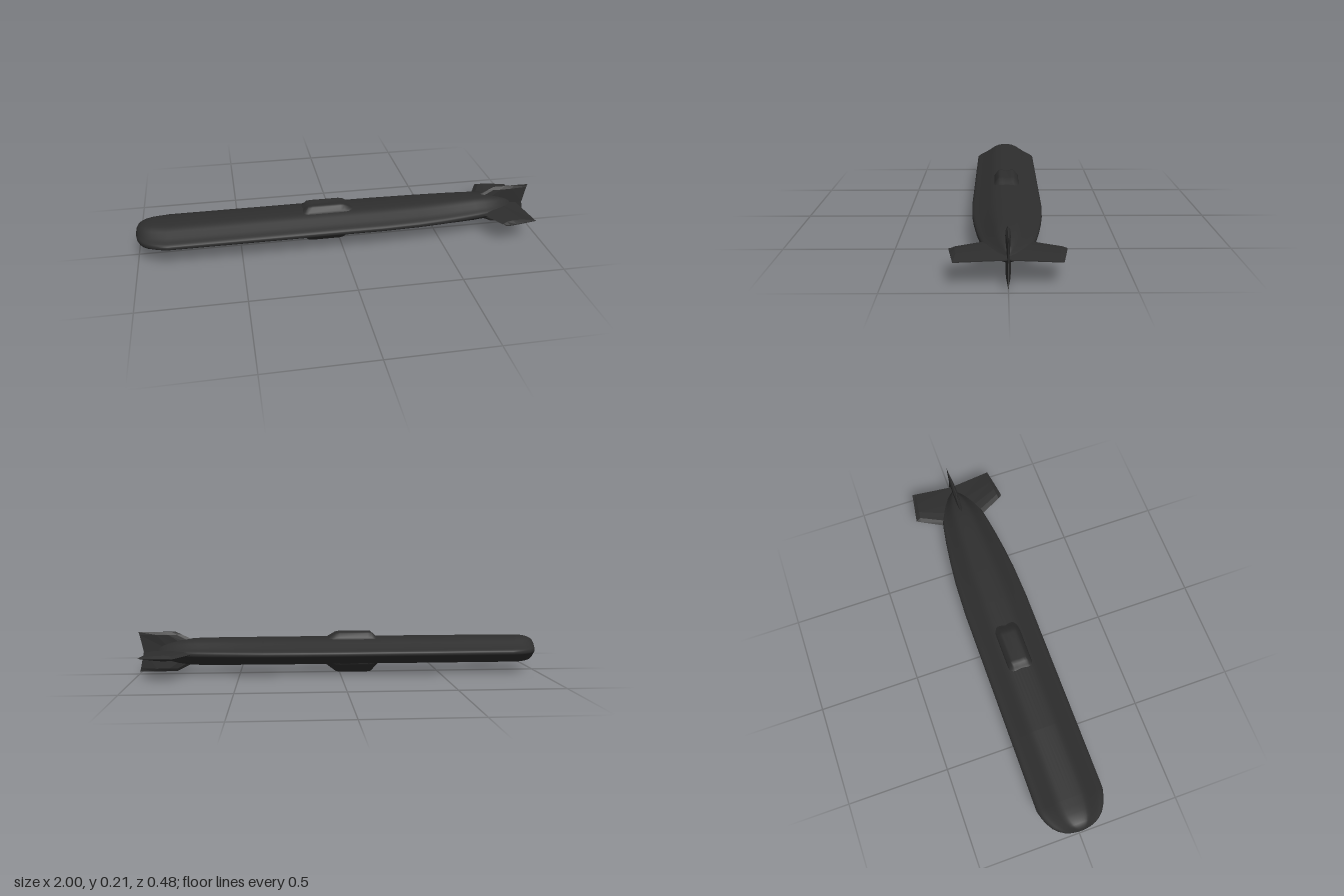
import * as THREE from 'three';
import { mergeVertices } from 'three/addons/utils/BufferGeometryUtils.js';

const AXIS_Y = 0.112;
const material = new THREE.MeshStandardMaterial({ color: 0x2e2e2e });
const flatMaterial = new THREE.MeshStandardMaterial({ color: 0x2e2e2e, flatShading: true });

// Skin rings of [x, y, z] points; rings advance along +x and turn from -z over +y to +z.
function loft(rings) {
  const n = rings[0].length, pos = [], index = [];
  rings.forEach(r => r.forEach(p => pos.push(...p)));
  for (let i = 0; i < rings.length - 1; i++) {
    for (let j = 0; j < n; j++) {
      const a = i * n + j, b = i * n + (j + 1) % n;
      index.push(a, b, a + n, b, b + n, a + n);
    }
  }
  // End caps
  [0, rings.length - 1].forEach(k => {
    const c = pos.length / 3;
    for (let d = 0; d < 3; d++) pos.push(rings[k].reduce((s, p) => s + p[d], 0) / n);
    for (let j = 0; j < n; j++) {
      const a = k * n + j, b = k * n + (j + 1) % n;
      if (k === 0) index.push(c, b, a); else index.push(c, a, b);
    }
  });
  const g = new THREE.BufferGeometry();
  g.setAttribute('position', new THREE.Float32BufferAttribute(pos, 3));
  g.setIndex(index);
  const merged = mergeVertices(g, 1e-5);
  merged.computeVertexNormals();
  return merged;
}

function addMesh(parent, name, geometry, mat) {
  const mesh = new THREE.Mesh(geometry, mat);
  mesh.name = name;
  parent.add(mesh);
  return mesh;
}

// Hull: lens-like cross-section scaled by width and height at stations along x
function hullGeometry() {
  const upper = [[-1, 0], [-0.97, 0.17], [-0.8, 0.36], [-0.6, 0.63], [-0.45, 0.83], [-0.3, 0.95], [0, 1],
    [0.3, 0.95], [0.45, 0.83], [0.6, 0.63], [0.8, 0.36], [0.97, 0.17]];
  const outline = [...upper, ...upper.map(([z, y]) => [-z, -y])];
  const curve = new THREE.CatmullRomCurve3(outline.map(([z, y]) => new THREE.Vector3(0, y, z)), true);
  const section = curve.getPoints(72).slice(0, 72);
  // [x, half width, half height]
  const stations = [
    [-1, 0.02, 0.014], [-0.995, 0.05, 0.034], [-0.985, 0.078, 0.049], [-0.97, 0.102, 0.058],
    [-0.95, 0.123, 0.064], [-0.92, 0.142, 0.067], [-0.89, 0.155, 0.067], [-0.85, 0.166, 0.067],
    [-0.5, 0.166, 0.067], [0, 0.166, 0.067], [0.2, 0.166, 0.067], [0.38, 0.159, 0.067],
    [0.5, 0.148, 0.067], [0.62, 0.133, 0.067], [0.7, 0.12, 0.066], [0.75, 0.11, 0.063],
    [0.8, 0.092, 0.056], [0.84, 0.07, 0.046], [0.875, 0.045, 0.033], [0.9, 0.02, 0.018], [0.91, 0.004, 0.004],
  ];
  return loft(stations.map(([x, w, h]) => section.map(p => [x, AXIS_Y + p.y * h, p.z * w])));
}

// Fairing: rounded ridge that rises from the hull and sinks back into it
function fairingGeometry(outline, base) {
  const stations = [[-0.22, 0], [-0.195, 0.22], [-0.175, 0.65], [-0.16, 0.95], [-0.14, 1],
    [0, 1], [0.02, 0.92], [0.045, 0.6], [0.075, 0.22], [0.12, 0]];
  return loft(stations.map(([x, k]) => outline.map(([z, y]) => [x, base + (y - base) * k, z])));
}

// Fin: span along local x, thickness along y, chord along z
// Rows are [leading span, leading chord, trailing span, trailing chord, half thickness]
function finGeometry(rows) {
  return loft(rows.map(([s0, c0, s1, c1, t]) => {
    const at = (u, y) => [s0 + (s1 - s0) * u, y, c0 + (c1 - c0) * u];
    return [at(0, 0), at(0.12, t * 0.75), at(0.32, t), at(0.6, t * 0.8), at(1, t * 0.15),
      at(1, -t * 0.15), at(0.6, -t * 0.8), at(0.32, -t), at(0.12, -t * 0.75)];
  }));
}

export function createModel() {
  const model = new THREE.Group();
  model.name = 'underwaterVehicle';

  addMesh(model, 'hull', hullGeometry(), material);

  // Upper and lower mid-body fairings
  const top = [[-0.068, 0.16], [-0.057, 0.181], [-0.043, 0.2], [-0.034, 0.205], [-0.022, 0.205], [0, 0.2],
    [0.022, 0.205], [0.034, 0.205], [0.043, 0.2], [0.057, 0.181], [0.068, 0.16]];
  const bottom = [[0.07, 0.06], [0.055, 0.043], [0.038, 0.024], [0.018, 0.004], [0.008, 0],
    [-0.008, 0], [-0.018, 0.004], [-0.038, 0.024], [-0.055, 0.043], [-0.07, 0.06]];
  addMesh(model, 'upperFairing', fairingGeometry(top, 0.16), material);
  addMesh(model, 'lowerFairing', fairingGeometry(bottom, 0.06), material);

  // Cross-shaped tail fins
  const sideFin = finGeometry([[0, 0.67, 0, 0.94, 0.014], [0.22, 0.79, 0.198, 0.962, 0.014],
    [0.241, 0.803, 0.215, 0.966, 0.002]]);
  const uprightFin = finGeometry([[0, 0.61, 0, 0.975, 0.012], [0.085, 0.785, 0.085, 0.993, 0.011],
    [0.0995, 0.815, 0.0995, 0.998, 0.002]]);
  const forward = new THREE.Vector3(1, 0, 0);
  [['leftSideFin', 0, 1], ['rightSideFin', 0, -1], ['upperFin', 1, 0], ['lowerFin', -1, 0]].forEach(([name, y, z]) => {
    const span = new THREE.Vector3(0, y, z);
    const across = new THREE.Vector3().crossVectors(forward, span);
    const fin = addMesh(model, name, z ? sideFin : uprightFin, flatMaterial);
    fin.quaternion.setFromRotationMatrix(new THREE.Matrix4().makeBasis(span, across, forward));
    fin.position.y = AXIS_Y;
  });

  return model;
}
